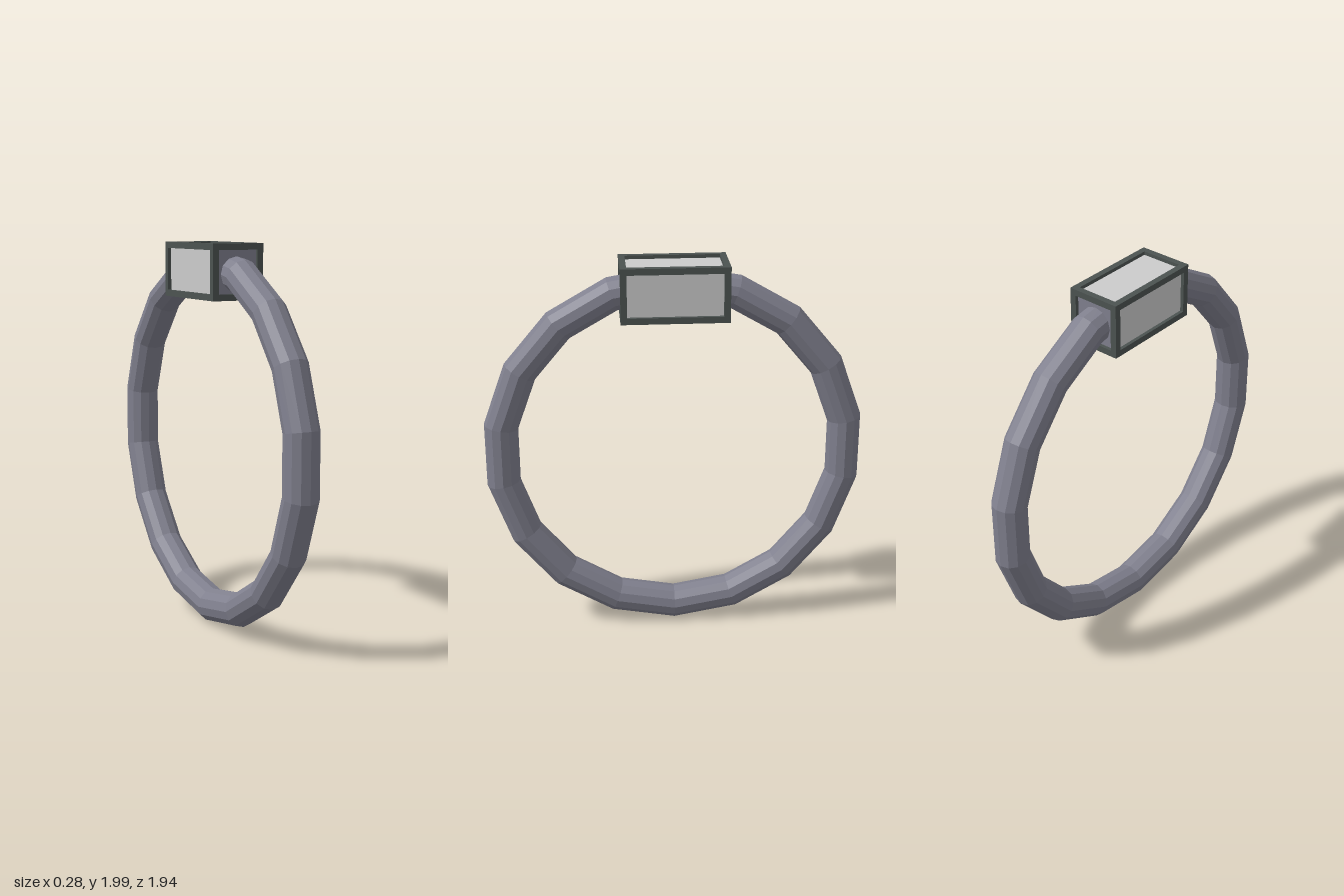
import * as THREE from 'three';

const W = 0.28, H = 0.28, D = 0.54, BAR = 0.032, RECESS = 0.018; // casing size
const BOX_Y = 1.86;

const paint = (color) => new THREE.MeshStandardMaterial({ color, flatShading: true });

function add(parent, name, geometry, material, x = 0, y = 0, z = 0) {
  const mesh = new THREE.Mesh(geometry, material);
  mesh.name = name;
  mesh.position.set(x, y, z);
  parent.add(mesh);
  return mesh;
}

// Faceted hoop whose seam is at the top; its two ends stop inside the casing.
function hoopGeometry() {
  const sides = 12, steps = 18;
  const geo = new THREE.TorusGeometry(0.898, 0.088, sides, steps);
  const pos = geo.attributes.position;
  const a = new THREE.Vector3(), b = new THREE.Vector3();
  for (let j = 0; j <= sides; j++) {
    const row = j * (steps + 1);
    for (const [end, next] of [[0, 1], [steps, steps - 1]]) {
      a.fromBufferAttribute(pos, row + end).lerp(b.fromBufferAttribute(pos, row + next), 0.6);
      pos.setXYZ(row + end, a.x, a.y, a.z);
    }
  }
  return geo.rotateZ(Math.PI / 2).rotateY(Math.PI / 2);
}

export function createModel() {
  const model = new THREE.Group();
  model.name = 'ring';
  const metal = paint(0x80808e), dark = paint(0x4c5351), light = paint(0xcccccc);

  add(model, 'band', hoopGeometry(), metal, 0, 0.995, 0);

  const casing = new THREE.Group();
  casing.name = 'casing';
  casing.position.y = BOX_Y;
  model.add(casing);

  // Twelve bars along the edges of the casing
  const frame = new THREE.Group();
  frame.name = 'frame';
  casing.add(frame);
  const ex = (W - BAR) / 2, ey = (H - BAR) / 2, ez = (D - BAR) / 2;
  for (const s of [-1, 1]) {
    for (const t of [-1, 1]) {
      add(frame, 'longBar', new THREE.BoxGeometry(BAR, BAR, D), dark, s * ex, t * ey, 0);
      add(frame, 'crossBar', new THREE.BoxGeometry(W - 2 * BAR, BAR, BAR), dark, 0, s * ey, t * ez);
      add(frame, 'uprightBar', new THREE.BoxGeometry(BAR, H - 2 * BAR, BAR), dark, s * ex, 0, t * ez);
    }
  }

  // Recessed panels: light on the four long sides, metal at both ends
  const pw = W - 2 * BAR, ph = H - 2 * BAR, pd = D - 2 * BAR, thick = 0.01;
  const inset = RECESS + thick / 2;
  for (const s of [-1, 1]) {
    add(casing, 'sidePanel', new THREE.BoxGeometry(thick, ph, pd), light, s * (W / 2 - inset), 0, 0);
    add(casing, s > 0 ? 'topPanel' : 'bottomPanel',
      new THREE.BoxGeometry(pw, thick, pd), light, 0, s * (H / 2 - inset), 0);
    add(casing, 'endPanel', new THREE.BoxGeometry(pw, ph, thick), metal, 0, 0, s * (D / 2 - inset));
  }
  return model;
}
